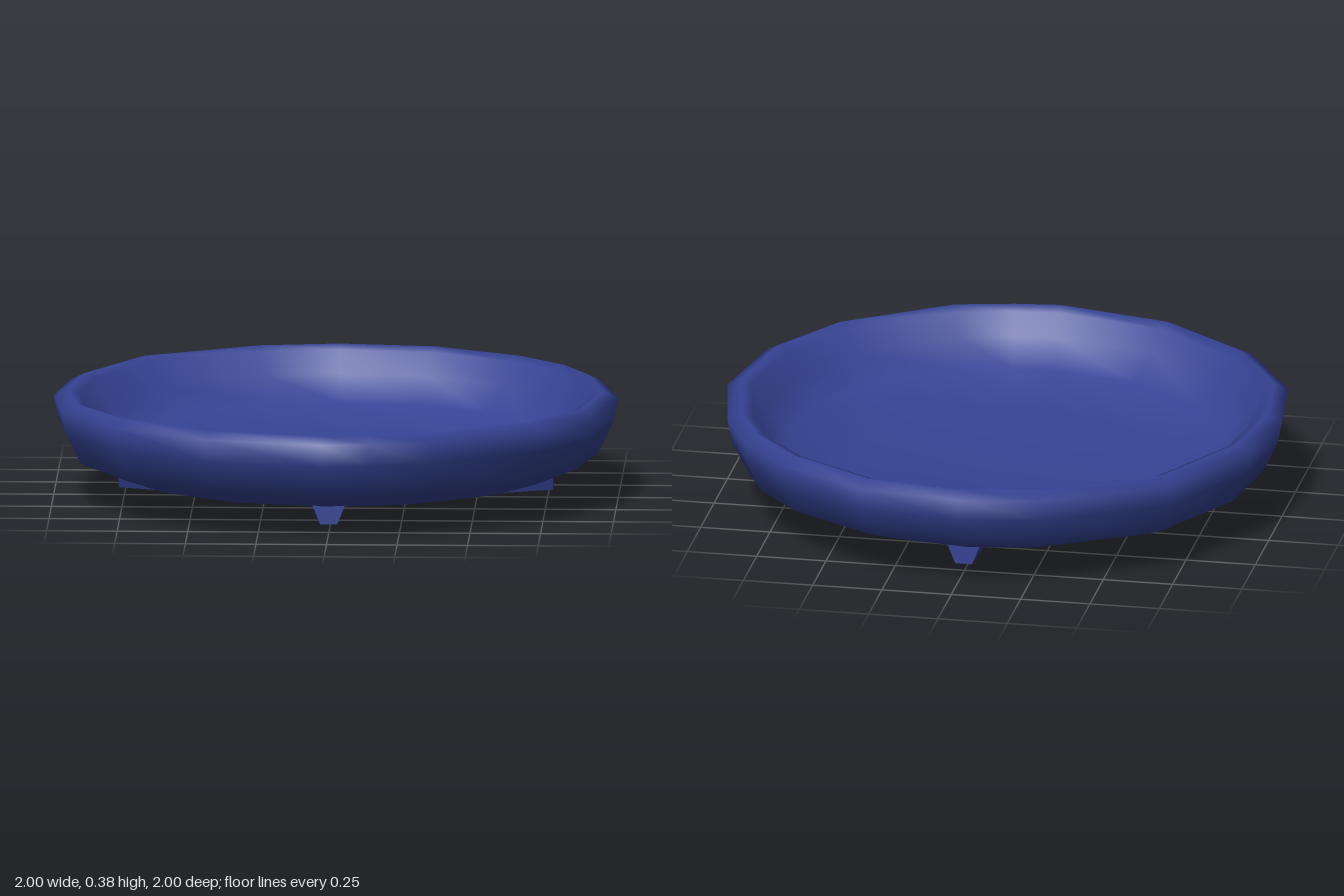
import * as THREE from 'three';
import { mergeVertices } from 'three/addons/utils/BufferGeometryUtils.js';

const blue = new THREE.MeshStandardMaterial({ color: 0x354394 });
blue.name = 'dark blue';

// Uneven rim outline [x, z], running from the front round by the left side
const outline = [
  [-0.02, 1], [0.15, 0.98], [0.37, 0.93], [0.75, 0.67], [0.93, 0.38], [1, 0],
  [0.93, -0.36], [0.83, -0.57], [0.66, -0.76], [0.34, -0.95], [-0.02, -1],
  [-0.32, -0.95], [-0.74, -0.71], [-0.95, -0.33], [-1, 0], [-0.96, 0.33],
  [-0.77, 0.65], [-0.44, 0.9],
];

// Section [radius, y]: underside, outer wall, rolled rim, inner wall, floor
const section = [
  [0, 0.03], [0.4, 0.05], [0.77, 0.1], [0.93, 0.167], [0.985, 0.28], [1, 0.36],
  [0.95, 0.385], [0.91, 0.37], [0.87, 0.29], [0.78, 0.2], [0.55, 0.145], [0, 0.125],
];

// Smooth normals shared across all faces
function smooth(geometry) {
  geometry.deleteAttribute('normal');
  geometry.deleteAttribute('uv');
  const merged = mergeVertices(geometry, 1e-4);
  merged.computeVertexNormals();
  return merged;
}

// Lathe the section, then pull every ring onto the uneven outline
function dishGeometry() {
  const points = section.map(([r, y]) => new THREE.Vector2(r, y));
  const geometry = new THREE.LatheGeometry(points, outline.length);
  const pos = geometry.attributes.position;
  for (let k = 0; k < pos.count; k++) {
    const [x, z] = outline[Math.floor(k / section.length) % outline.length];
    const r = section[k % section.length][0];
    pos.setX(k, x * r);
    pos.setZ(k, z * r);
  }
  return smooth(geometry);
}

// Bar with a narrow lower edge that rises slightly toward its ends
function barGeometry() {
  const geometry = new THREE.BoxGeometry(1.54, 1, 1, 8, 1, 1);
  const pos = geometry.attributes.position;
  for (let k = 0; k < pos.count; k++) {
    const x = pos.getX(k);
    const t = Math.abs(x) / 0.77;
    const low = pos.getY(k) < 0;
    pos.setY(k, low ? 0.004 + 0.032 * t * t : 0.06 + 0.05 * t);
    pos.setZ(k, pos.getZ(k) * (low ? 0.06 : 0.12));
  }
  geometry.computeVertexNormals();
  return geometry;
}

export function createModel() {
  const group = new THREE.Group();
  group.name = 'dish';

  const bowl = new THREE.Mesh(dishGeometry(), blue);
  bowl.name = 'bowl';
  group.add(bowl);

  // Crossed support bars under the bowl
  for (let i = 0; i < 2; i++) {
    const bar = new THREE.Mesh(barGeometry(), blue);
    bar.name = i ? 'lengthwiseBar' : 'crosswiseBar';
    bar.rotation.y = (i * Math.PI) / 2;
    group.add(bar);
  }
  return group;
}
